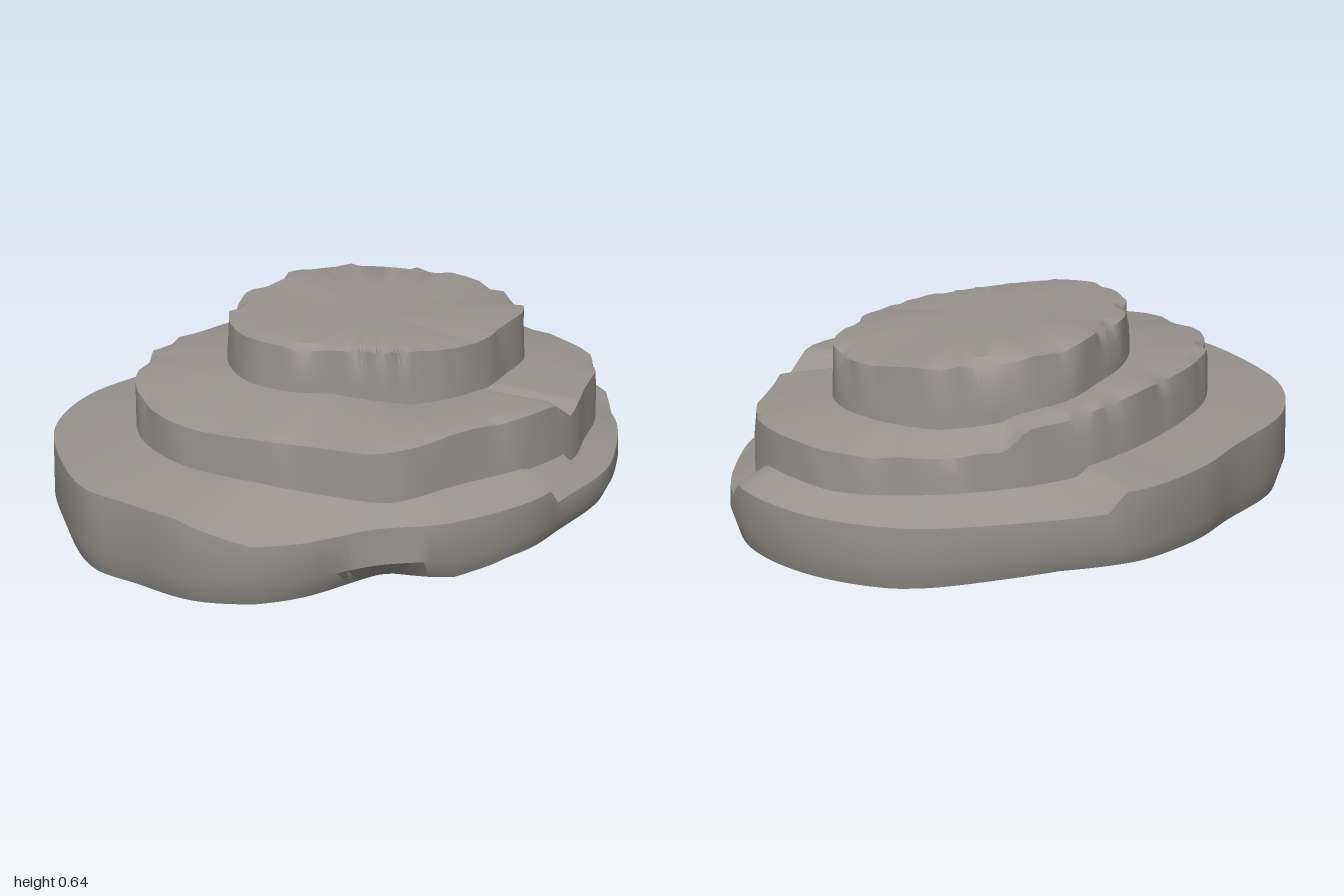
import * as THREE from 'three';
import { toCreasedNormals } from 'three/addons/utils/BufferGeometryUtils.js';

const SEG = 180, CX = 0.1, CZ = 0.03;
const TAU = Math.PI * 2;

// Outlines of the three rock terraces as [x, z]
const BASE = [[1, 0], [0.98, 0.2], [0.9, 0.36], [0.72, 0.54], [0.55, 0.66], [0.3, 0.74], [0.1, 0.79],
  [-0.2, 0.76], [-0.4, 0.66], [-0.65, 0.6], [-0.8, 0.5], [-0.9, 0.38], [-0.96, 0.18], [-1, 0.02],
  [-0.95, -0.2], [-0.8, -0.5], [-0.55, -0.69], [-0.2, -0.76], [0, -0.8], [0.25, -0.79],
  [0.4, -0.73], [0.65, -0.57], [0.85, -0.4], [0.96, -0.2]];
const MIDDLE = [[0.89, 0], [0.87, 0.2], [0.8, 0.35], [0.6, 0.5], [0.45, 0.6], [0.2, 0.65], [-0.05, 0.63],
  [-0.28, 0.61], [-0.42, 0.52], [-0.6, 0.33], [-0.69, 0.15], [-0.71, 0], [-0.68, -0.17], [-0.57, -0.35],
  [-0.4, -0.48], [-0.15, -0.55], [0.1, -0.57], [0.35, -0.55], [0.6, -0.43], [0.8, -0.25], [0.88, -0.1]];
const TOP = [[0.66, 0.05], [0.63, 0.15], [0.56, 0.24], [0.42, 0.31], [0.28, 0.37], [0.1, 0.38], [-0.05, 0.33],
  [-0.2, 0.24], [-0.33, 0.13], [-0.38, 0], [-0.35, -0.14], [-0.25, -0.28], [-0.08, -0.39], [0.1, -0.44],
  [0.25, -0.46], [0.42, -0.4], [0.58, -0.27], [0.65, -0.12]];

// Linear lookup in [key, value] pairs, wrapping around after the last key
function lookup(pairs, key, period) {
  const first = pairs[0], k = key < first[0] ? key + period : key;
  const all = [...pairs, [first[0] + period, first[1]]];
  const j = Math.max(1, all.findIndex(p => p[0] >= k));
  const [a, b] = [all[j - 1], all[j]];
  return a[1] + (b[1] - a[1]) * (k - a[0]) / (b[0] - a[0] || 1);
}

// Radius of an outline for every segment around the common centre
function radii(outline) {
  const curve = new THREE.CatmullRomCurve3(outline.map(([x, z]) => new THREE.Vector3(x - CX, 0, z - CZ)), true);
  const polar = curve.getPoints(400).slice(0, -1)
    .map(p => [(Math.atan2(p.z, p.x) + TAU) % TAU, Math.hypot(p.x, p.z)])
    .sort((a, b) => a[0] - b[0]);
  return Array.from({ length: SEG }, (_, i) => lookup(polar, i / SEG * TAU, TAU));
}

// Heights for every segment from [degrees, height] pairs or a constant
const heights = h => Array.from({ length: SEG }, (_, i) =>
  typeof h === 'number' ? h : lookup(h, i * 360 / SEG, 360));

function random(seed) {
  return () => (seed = (seed * 16807) % 2147483647) / 2147483647;
}

// Chipped edge: irregular small notches, shared by neighbouring segments
function chips(seed, amount) {
  const rnd = random(seed);
  const knots = Array.from({ length: 60 }, (_, i) => [i * 6, -amount * rnd() ** 3]);
  return heights(knots);
}

const scaled = (r, s) => r.map(v => v * s);
const plus = (a, b, s = 1) => a.map((v, i) => v + b[i] * s);

// Skin a stack of rings [radii, heights], ordered outward and up, then inward
function skin(rings) {
  const pos = [], idx = [];
  for (const [r, y] of rings) {
    for (let i = 0; i < SEG; i++) {
      const a = i / SEG * TAU;
      pos.push(CX + r[i] * Math.cos(a), y[i], CZ + r[i] * Math.sin(a));
    }
  }
  for (let k = 0; k < rings.length - 1; k++) {
    for (let i = 0; i < SEG; i++) {
      const j = (i + 1) % SEG, a = k * SEG + i, b = k * SEG + j;
      idx.push(a, b + SEG, b, a, a + SEG, b + SEG);
    }
  }
  const g = new THREE.BufferGeometry();
  g.setAttribute('position', new THREE.Float32BufferAttribute(pos, 3));
  g.setIndex(idx);
  return toCreasedNormals(g, 0.6);
}

export function createModel() {
  const group = new THREE.Group();
  group.name = 'terracedRock';
  const stone = new THREE.MeshStandardMaterial({ color: 0x98948c });
  stone.name = 'warm grey stone';
  const add = (name, rings) => {
    const mesh = new THREE.Mesh(skin(rings), stone);
    mesh.name = name;
    group.add(mesh);
  };
  const base = radii(BASE), middle = radii(MIDDLE), top = radii(TOP), none = scaled(top, 0);

  // Base slab: slightly uneven underside, ledge with stepped breaks
  const under = heights([[0, 0], [20, 0], [40, 0.035], [95, 0.03], [110, 0.005], [125, 0.03], [150, 0],
    [230, 0], [270, 0.02], [300, 0.03], [335, 0]]);
  const baseRim = heights([[0, 0.2], [14, 0.2], [18, 0.145], [78, 0.145], [82, 0.2], [150, 0.2], [162, 0.27],
    [180, 0.27], [286, 0.26], [290, 0.2]]);
  const baseInner = heights([[0, 0.26], [13, 0.26], [22, 0.2], [60, 0.2], [64, 0.25], [125, 0.25], [155, 0.3],
    [200, 0.31], [270, 0.28], [286, 0.28], [290, 0.26]]);
  const dent = heights([[0, 0.97], [100, 0.97], [128, 0.93], [150, 0.96], [180, 0.975], [300, 0.97]]);
  add('baseSlab', [
    [none, heights(0)],
    [scaled(base, 0.5), scaled(under, 0.4)],
    [base.map((r, i) => r * dent[i]), under],
    [base, heights(0.085)],
    [scaled(base, 0.995), baseRim],
    [scaled(middle, 0.97), baseInner],
  ]);

  // Middle terrace
  const midChip = chips(11, 0.035);
  const midRim = heights([[0, 0.37], [54, 0.37], [60, 0.345], [67, 0.41], [100, 0.415], [130, 0.4], [150, 0.43],
    [180, 0.43], [220, 0.46], [260, 0.46], [285, 0.45], [305, 0.43], [311, 0.37]]);
  const midInner = heights([[0, 0.41], [110, 0.41], [150, 0.46], [200, 0.48], [270, 0.47], [300, 0.45], [330, 0.41]]);
  add('middleTerrace', [
    [scaled(middle, 1.005), heights(0.13)],
    [middle, plus(midRim, heights(-0.07))],
    [plus(middle, midChip, 0.6), plus(midRim, midChip, 0.5)],
    [scaled(middle, 0.94), plus(midRim, heights(0.008))],
    [scaled(top, 0.96), midInner],
  ]);

  // Top terrace with a gently tilted, chipped crown
  const topChip = chips(29, 0.045);
  const topRim = heights([[0, 0.57], [45, 0.58], [70, 0.57], [110, 0.585], [150, 0.6], [180, 0.615],
    [240, 0.62], [270, 0.63], [310, 0.61]]);
  add('topTerrace', [
    [scaled(top, 1.015), heights(0.34)],
    [scaled(top, 1.01), plus(midInner, heights(0.015))],
    [top, plus(topRim, heights(-0.06))],
    [plus(top, topChip, 0.6), plus(topRim, topChip, 0.5)],
    [scaled(top, 0.9), plus(topRim, heights(0.006))],
    [scaled(top, 0.5), topRim.map(y => y * 0.5 + 0.306)],
    [none, heights(0.61)],
  ]);
  return group;
}
